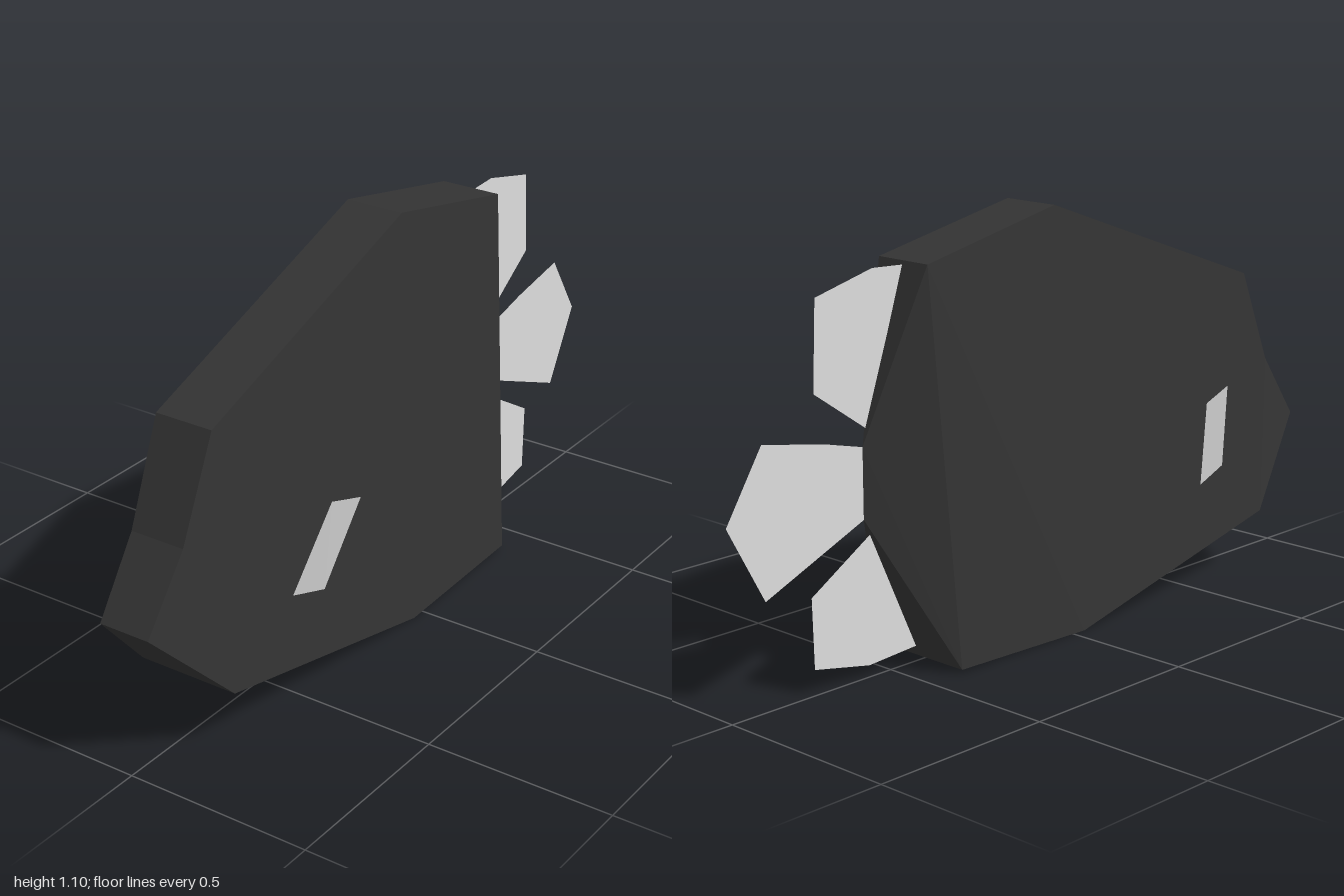
import * as THREE from 'three';

const dark = new THREE.MeshStandardMaterial({ color: 0x333333 });
dark.name = 'charcoal';
dark.flatShading = true;
const pale = new THREE.MeshStandardMaterial({ color: 0xdcdcdc, side: THREE.DoubleSide });
pale.name = 'pale fin grey';

const mirror = ([x, y, z]) => [-x, y, z];

// Flat-faced geometry from polygons, each split as a fan
function facets(polygons) {
  const pos = [];
  for (const p of polygons)
    for (let i = 1; i < p.length - 1; i++) pos.push(...p[0], ...p[i], ...p[i + 1]);
  const g = new THREE.BufferGeometry();
  g.setAttribute('position', new THREE.Float32BufferAttribute(pos, 3));
  g.computeVertexNormals();
  return g;
}

function addMesh(group, name, geometry, material) {
  const m = new THREE.Mesh(geometry, material);
  m.name = name;
  group.add(m);
}

// Angular body: a left outline, mirrored and bridged, with a central rear ridge
function bodyGeometry() {
  const nose = [0.07, 0.39, 1], brow = [0.075, 0.57, 0.87], forehead = [0.08, 0.825, 0.76];
  const crown = [0.08, 1.1, 0], rump = [0.083, 1.01, -0.44];
  const heel = [0.148, 0.01, -0.4], belly = [0.152, 0, 0.04], chin = [0.139, 0.16, 0.78];
  const ridgeTop = [0, 0.58, -0.58], ridgeLow = [0, 0.4, -0.58];

  const sides = [
    [nose, chin, brow], [brow, chin, forehead],
    [forehead, chin, belly, crown], [crown, belly, heel, rump],
    [rump, heel, ridgeTop], [heel, ridgeLow, ridgeTop],
  ];
  const polys = [...sides, ...sides.map((p) => p.map(mirror).reverse())];

  // Bands across the width, along the underside and along the top
  for (const run of [[rump, crown, forehead, brow, nose, chin, belly, heel]])
    for (let i = 0; i < run.length - 1; i++)
      polys.push([run[i + 1], run[i], mirror(run[i]), mirror(run[i + 1])]);

  // Rear triangles above and below the ridge
  polys.push([rump, ridgeTop, mirror(rump)], [ridgeLow, heel, mirror(heel)]);
  return facets(polys);
}

export function createModel() {
  const model = new THREE.Group();
  model.name = 'angularFish';
  addMesh(model, 'body', bodyGeometry(), dark);

  // Tail fins: thin sheets on the centre plane, as [z, y]
  const tail = {
    upperTailFin: [[-0.44, 1.0], [-0.57, 0.625], [-0.73, 0.735], [-0.72, 0.96], [-0.54, 1.005]],
    middleTailFin: [[-0.58, 0.58], [-0.58, 0.4], [-0.89, 0.27], [-1, 0.47], [-0.89, 0.645], [-0.7, 0.61]],
    lowerTailFin: [[-0.56, 0.36], [-0.4, 0.04], [-0.57, 0.03], [-0.745, 0.065], [-0.75, 0.245]],
  };
  for (const [name, pts] of Object.entries(tail))
    addMesh(model, name, facets([pts.map(([z, y]) => [0, y, z])]), pale);

  // Tilted side fins
  const fin = [[0.23, 0.578, 0.51], [0.163, 0.335, 0.578], [0.177, 0.305, 0.47], [0.242, 0.55, 0.41]];
  addMesh(model, 'leftSideFin', facets([fin]), pale);
  addMesh(model, 'rightSideFin', facets([fin.map(mirror).reverse()]), pale);
  return model;
}
